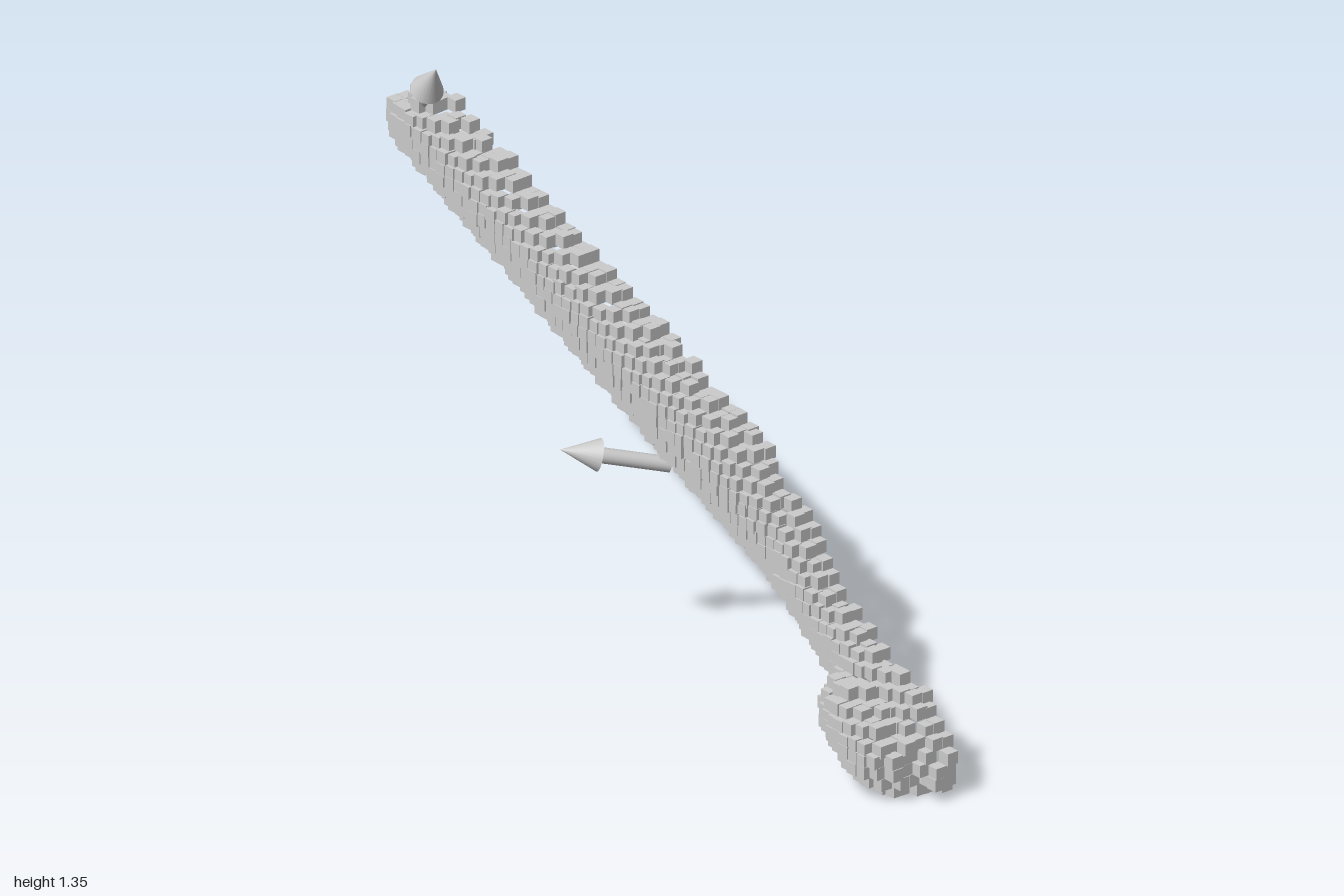
import * as THREE from 'three';
import { mergeGeometries } from 'three/addons/utils/BufferGeometryUtils.js';

const CELL = 0.03;

// Stations along the slanted axis: distance, lower edge, upper edge, front z, rim z
const STATIONS = [
  [-0.03, 0.0, 0.05, 0.01, -0.04],
  [0.06, -0.045, 0.14, 0.045, -0.065],
  [0.36, -0.04, 0.16, 0.035, -0.085],
  [0.81, -0.045, 0.18, 0.01, -0.11],
  [1.27, -0.06, 0.18, -0.03, -0.15],
  [1.52, -0.06, 0.14, -0.062, -0.155],
  [1.75, -0.065, 0.08, -0.055, -0.145],
  [1.95, -0.09, 0.09, -0.04, -0.12],
  [2.1, -0.105, 0.11, -0.04, -0.13],
  [2.2, -0.095, 0.085, -0.05, -0.13],
  [2.29, -0.03, 0.03, -0.06, -0.12],
];

function stationAt(s) {
  for (let i = 1; i < STATIONS.length; i++) {
    const a = STATIONS[i - 1], b = STATIONS[i];
    if (s >= a[0] && s <= b[0]) {
      const t = (s - a[0]) / (b[0] - a[0]);
      return a.map((v, k) => v + (b[k] - v) * t);
    }
  }
  return null;
}

// Front surface and rim depth at a point of the front plane; null outside the outline
function surface(x, y) {
  const s = (x + 1) * 0.877 - (y - 1.15) * 0.481;
  const v = (x + 1) * 0.481 + (y - 1.15) * 0.877;
  const st = stationAt(s);
  if (!st || v < st[1] || v > st[2]) return null;
  const [, lo, hi, front, rim] = st;
  const e = Math.abs((2 * v - lo - hi) / (hi - lo));
  let z = rim + (front - rim) * Math.sqrt(1 - e ** 3);
  // Blunt lobe on the foot
  const r = Math.abs((s - 2.07) / 0.18) ** 3 + Math.abs((v + 0.025) / 0.09) ** 3;
  if (r < 1) z = Math.max(z, -0.1 + (0.165 + 0.1 * (s - 2)) * Math.sqrt(1 - r));
  return { z, rim };
}

// Small seeded generator for the uneven block positions
function seeded(seed) {
  return () => {
    seed = (seed * 16807) % 2147483647;
    return seed / 2147483647 - 0.5;
  };
}

// Hollow trough of stacked blocks, open at the back
function blockShell() {
  const rand = seeded(71);
  const blocks = [];
  for (let x = -0.983; x < 1; x += CELL) {
    for (let y = 0.021; y < 1.28; y += CELL) {
      const here = surface(x, y);
      if (!here) continue;
      let low = here.z - CELL;
      for (const [dx, dy] of [[1, 0], [-1, 0], [0, 1], [0, -1]]) {
        const next = surface(x + dx * CELL, y + dy * CELL);
        low = Math.min(low, next ? next.z : here.rim);
      }
      const count = Math.max(1, Math.round((here.z - low) / CELL));
      for (let i = 0; i < count; i++) {
        const size = CELL * 1.1;
        const block = new THREE.BoxGeometry(size, size, size);
        block.translate(x + rand() * 0.008, y + rand() * 0.008,
          here.z - CELL * (i + 0.5) + rand() * 0.006);
        blocks.push(block);
      }
    }
  }
  return mergeGeometries(blocks);
}

// Arrow with a round shaft and a cone head
function arrow(name, start, tip, material) {
  const group = new THREE.Group();
  group.name = name;
  const from = new THREE.Vector3(...start);
  const dir = new THREE.Vector3(...tip).sub(from);
  const length = dir.length();
  const head = 0.1;
  const shaftMesh = new THREE.Mesh(
    new THREE.CylinderGeometry(0.02, 0.02, length - head, 20), material);
  shaftMesh.name = 'arrowShaft';
  shaftMesh.position.y = (length - head) / 2;
  const headMesh = new THREE.Mesh(new THREE.ConeGeometry(0.042, head, 20), material);
  headMesh.name = 'arrowHead';
  headMesh.position.y = length - head / 2;
  group.add(shaftMesh, headMesh);
  group.position.copy(from);
  group.quaternion.setFromUnitVectors(new THREE.Vector3(0, 1, 0), dir.normalize());
  return group;
}

export function createModel() {
  const model = new THREE.Group();
  model.name = 'blockTroughWithArrows';
  const material = new THREE.MeshStandardMaterial({ color: 0xcccccc });

  const shell = new THREE.Mesh(blockShell(), material);
  shell.name = 'blockShell';
  model.add(shell);

  model.add(arrow('endArrow', [-0.95, 1.145, -0.02], [-0.805, 1.355, 0.027], material));
  model.add(arrow('frontArrow', [-0.03, 0.535, -0.075], [-0.163, 0.6, 0.165], material));
  return model;
}
